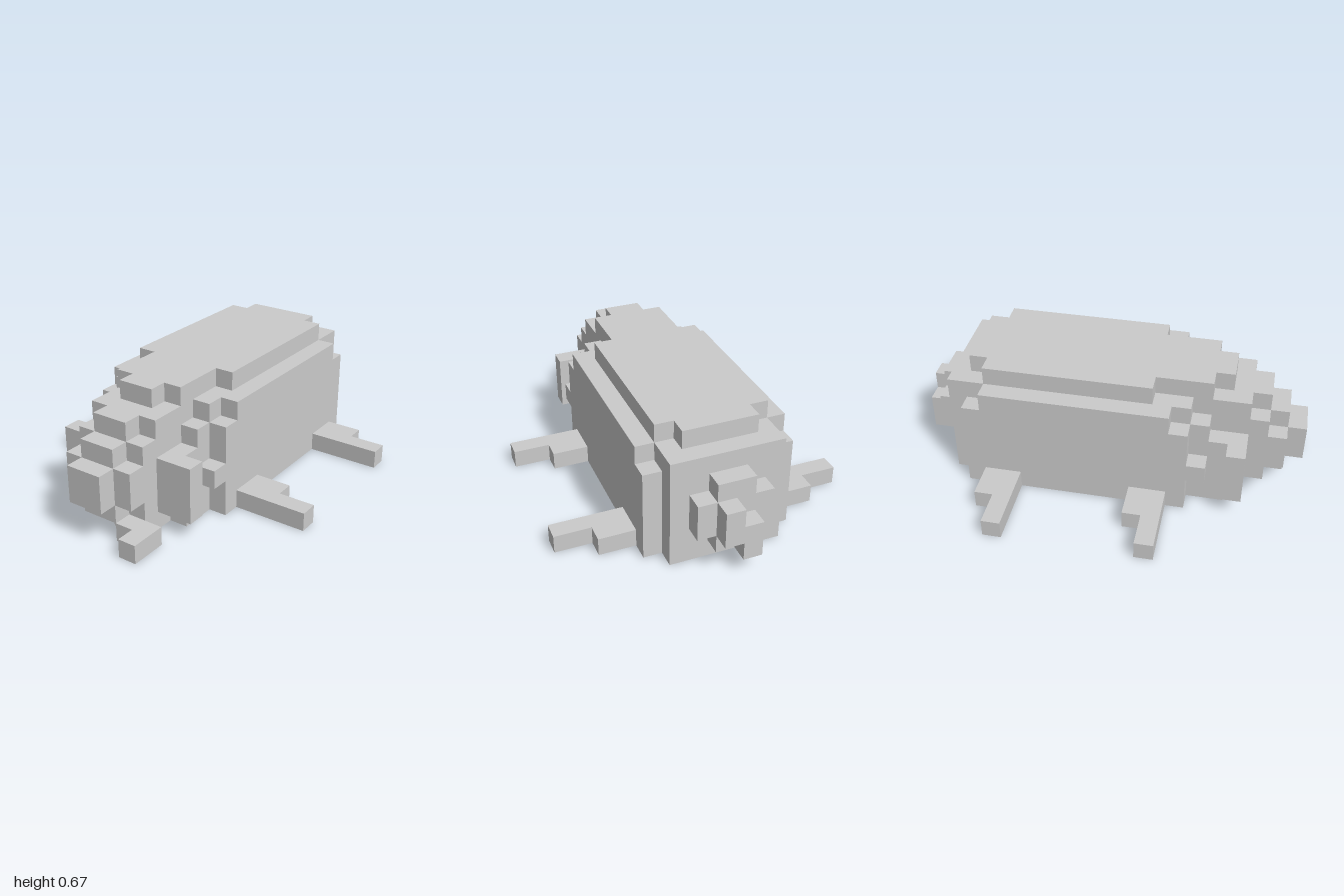
import * as THREE from 'three';
import { mergeGeometries } from 'three/addons/utils/BufferGeometryUtils.js';

const U = 2 / 21; // edge of one block
const material = new THREE.MeshStandardMaterial({ color: 0xcccccc, flatShading: true });

// Block in grid units; rows k run from the back (0) to the front (21)
function block(x0, x1, y0, y1, k0, k1) {
  const g = new THREE.BoxGeometry((x1 - x0) * U, (y1 - y0) * U, (k1 - k0) * U);
  return g.translate((x0 + x1) / 2 * U, (y0 + y1) / 2 * U, ((k0 + k1) / 2 - 10.5) * U);
}

// Symmetric block of the given half width
const slab = (half, y0, y1, k0, k1) => block(-half, half, y0, y1, k0, k1);

export function createModel() {
  const model = new THREE.Group();
  const add = (name, blocks) => {
    const mesh = new THREE.Mesh(mergeGeometries(blocks), material);
    mesh.name = name;
    model.add(mesh);
  };

  // Torso: wide middle, stepped towards both ends
  add('body', [
    slab(4, 0, 1, 3, 15),
    slab(4, 1, 2, 3, 15),
    slab(4, 2, 3, 3, 16),
    slab(4, 3, 5, 3, 15),
    slab(4, 5, 6, 4, 14),
  ]);
  add('rump', [slab(3, 0, 5, 2, 3), slab(3, 5, 6, 2, 4)]);

  // Back plate, tapering forward over the head
  add('backPlate', [
    slab(2, 6, 7, 3, 4),
    slab(3, 6, 7, 4, 13),
    slab(2, 6, 7, 13, 16),
    slab(1, 6, 7, 16, 17),
  ]);

  // Neck and head, narrowing row by row
  add('head', [
    slab(3, 0, 1, 15, 17),
    slab(3, 1, 4, 15, 17),
    slab(3, 4, 5, 15, 16),
    slab(3, 5, 6, 14, 15),
    slab(2, 5, 6, 15, 18),
    slab(2, 4, 5, 16, 19),
    slab(2, 1, 4, 17, 19),
    slab(1, 5, 6, 18, 19),
  ]);
  add('snout', [
    slab(2, 2, 4, 19, 20),
    slab(1, 4, 5, 19, 20),
    slab(1, 2, 4, 20, 21),
  ]);
  add('chin', [slab(1, 1, 2, 19, 20), slab(2, 0, 1, 17, 18)]);

  // Strip on the ground curling out to the left of the mouth
  add('tongue', [
    block(0, 2, 0, 1, 18, 19),
    block(1, 3, 0, 1, 19, 20),
    block(2, 3, 0, 1, 20, 21),
  ]);

  // Ears and splayed legs, mirrored
  for (const [side, s] of [['left', 1], ['right', -1]]) {
    const sided = (a, b, ...rest) => block(Math.min(a * s, b * s), Math.max(a * s, b * s), ...rest);
    add(side + 'Ear', [sided(2, 4, 1, 4, 17, 18)]);
    for (const [end, k] of [['Back', 4], ['Front', 12]]) {
      add(side + end + 'Leg', [sided(4, 6, 0, 1, k, k + 1), sided(4, 8, 0, 1, k + 1, k + 2)]);
    }
  }

  // Curly tail: a stepped knot with two offset ends
  add('tail', [
    slab(2, 2, 4, 1, 2),
    slab(1, 4, 5, 1, 2),
    slab(1, 1, 2, 1, 2),
    block(0, 1, 2, 4, 0, 1),
    block(-1, 0, 1, 3, 0, 1),
  ]);

  return model;
}
